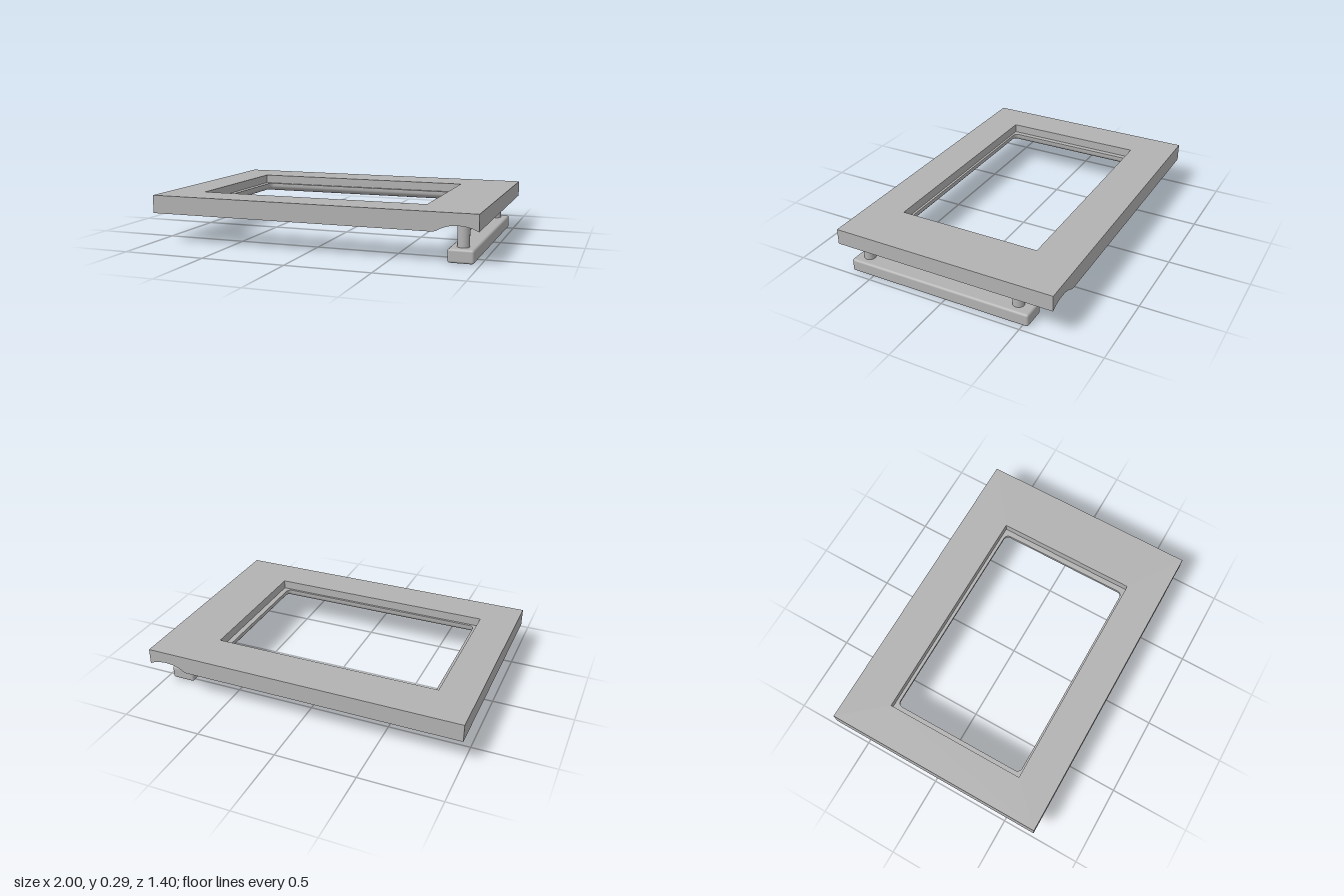
import * as THREE from 'three';
import { toCreasedNormals } from 'three/addons/utils/BufferGeometryUtils.js';
import { RoundedBoxGeometry } from 'three/addons/geometries/RoundedBoxGeometry.js';

const BOTTOM = 0.18, LEDGE = 0.235, TOP = 0.29;
const opening = { x: -0.0575, z: 0.0225, halfW: 0.6775, halfD: 0.4325 };

// Plan outline (x, -z) of the opening grown by d, with rounded corners
function openingLoop(d, r, steps = 5) {
  const points = [];
  [[1, 1], [-1, 1], [-1, -1], [1, -1]].forEach(([sx, sy], corner) => {
    for (let i = 0; i <= steps; i++) {
      const a = (corner + i / steps) * Math.PI / 2;
      points.push(new THREE.Vector2(
        opening.x + sx * (opening.halfW + d - r) + r * Math.cos(a),
        -opening.z + sy * (opening.halfD + d - r) + r * Math.sin(a)));
    }
  });
  return points;
}

function rectangle(x0, x1, z0, z1) {
  return [[x0, -z1], [x1, -z1], [x1, -z0], [x0, -z0]].map(p => new THREE.Vector2(...p));
}

// Horizontal slab with a hole, from y0 to y1
function slab(outline, hole, y0, y1) {
  const shape = new THREE.Shape(outline);
  shape.holes.push(new THREE.Path(hole));
  return new THREE.ExtrudeGeometry(shape, { depth: y1 - y0, bevelEnabled: false })
    .rotateX(-Math.PI / 2).translate(0, y0, 0);
}

// Section (offset, y) swept round the opening
function sweepOpening(section) {
  const rings = section.map(([d, y]) =>
    openingLoop(d, 0.03).map(p => [p.x, y, -p.y]));
  const positions = [];
  for (let j = 0; j < rings.length - 1; j++) {
    const upper = rings[j], lower = rings[j + 1];
    for (let i = 0; i < upper.length; i++) {
      const n = (i + 1) % upper.length;
      positions.push(...upper[i], ...upper[n], ...lower[n], ...upper[i], ...lower[n], ...lower[i]);
    }
  }
  const geometry = new THREE.BufferGeometry();
  geometry.setAttribute('position', new THREE.Float32BufferAttribute(positions, 3));
  return toCreasedNormals(geometry, 0.6);
}

export function createModel() {
  const model = new THREE.Group();
  model.name = 'cabinetDoor';
  const grey = new THREE.MeshStandardMaterial({ color: 0xb2b2b2 });
  grey.name = 'grey';
  const add = (name, geometry, parent = model) => {
    const mesh = new THREE.Mesh(geometry, grey);
    mesh.name = name;
    parent.add(mesh);
    return mesh;
  };

  // Frame: upper layer with the square recess, lower layer under the ledge
  const recess = rectangle(-0.77, 0.655, -0.43, 0.47);
  add('frameUpper', slab(rectangle(-1, 1, -0.7, 0.7), recess, LEDGE, TOP));
  add('frameLower', slab(rectangle(-1, 0.73, -0.7, 0.7), openingLoop(0.06, 0.03), BOTTOM, LEDGE));

  // Ledge, inner wall and rounded lower edge of the opening
  const section = [[0.06, LEDGE], [0, LEDGE], [0, 0.22]];
  for (let i = 1; i <= 8; i++) {
    const a = i / 8 * Math.PI / 2;
    section.push([0.06 * (1 - Math.cos(a)), 0.22 - (0.22 - BOTTOM) * Math.sin(a)]);
  }
  add('openingLip', sweepOpening(section));

  // Edge strip with the finger groove underneath
  const strip = new THREE.Shape();
  strip.moveTo(0.73, LEDGE);
  strip.lineTo(0.73, BOTTOM);
  strip.lineTo(0.745, BOTTOM);
  strip.splineThru([[0.765, 0.186], [0.8, 0.204], [0.84, 0.216], [0.885, 0.22],
    [0.93, 0.216], [0.97, 0.206], [1, 0.193]].map(p => new THREE.Vector2(...p)));
  strip.lineTo(1, LEDGE);
  const stripGeometry = new THREE.ExtrudeGeometry(strip,
    { depth: 1.4, bevelEnabled: false, curveSegments: 4 }).translate(0, 0, -0.7);
  add('groovedEdge', toCreasedNormals(stripGeometry, 0.5));

  // Handle: rounded bar on two posts
  const handle = new THREE.Group();
  handle.name = 'handle';
  model.add(handle);
  add('handleBar', new RoundedBoxGeometry(0.15, 0.08, 1.18, 3, 0.014), handle)
    .position.set(0.89, 0.04, 0.055);
  for (const z of [0.565, -0.44]) {
    add('handlePost', new THREE.CylinderGeometry(0.035, 0.035, 0.155, 32), handle)
      .position.set(0.89, 0.1475, z);
  }
  return model;
}
